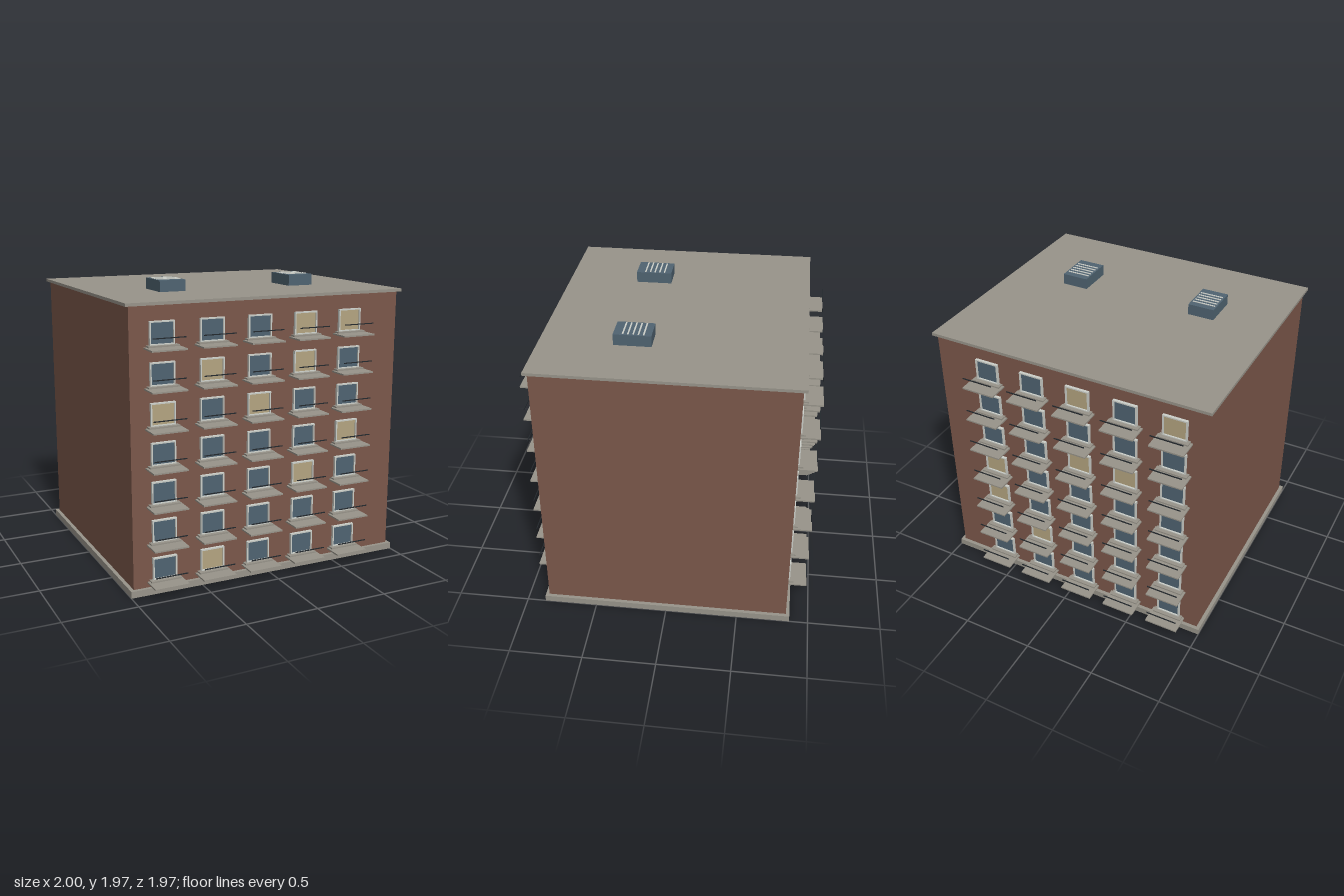
import * as THREE from 'three';

const mat = (name, color) => {
  const m = new THREE.MeshStandardMaterial({ color });
  m.name = name;
  return m;
};

export function createModel() {
  const brick = mat('brick', 0x7c584b);
  const concrete = mat('concrete', 0x99958b);
  const glass = mat('dark glass', 0x506472);
  const litGlass = mat('lit glass', 0xb5a581);
  const frame = mat('window frame', 0xcdd0ca);
  const metal = mat('dark metal', 0x23282d);

  const building = new THREE.Group();
  building.name = 'apartmentBlock';

  // Box given by its size and centre
  const box = (parent, name, material, [w, h, d], [x, y, z]) => {
    const mesh = new THREE.Mesh(new THREE.BoxGeometry(w, h, d), material);
    mesh.name = name;
    mesh.position.set(x, y, z);
    parent.add(mesh);
    return mesh;
  };

  // Main volume
  box(building, 'plinth', concrete, [2, 0.045, 1.74], [0, 0.0225, 0]);
  box(building, 'walls', brick, [1.95, 1.835, 1.69], [0, 0.9575, 0]);
  box(building, 'roofSlab', concrete, [2, 0.02, 1.74], [0, 1.878, 0]);

  // Window bay with sill, balcony slab and rail; s is the side (+1 front, -1 back)
  const wall = 0.845;
  const bay = (x, y, s, lit) => {
    const g = new THREE.Group();
    g.name = 'windowBay';
    g.position.set(x, y, 0);
    building.add(g);
    const cy = 0.09, w = 0.167, h = 0.15, t = 0.009;
    box(g, 'pane', lit ? litGlass : glass, [w - 2 * t, h - 2 * t, 0.009], [0, cy, s * (wall + 0.0045)]);
    for (const k of [-1, 1]) {
      box(g, 'frameSide', frame, [t, h, 0.02], [k * (w - t) / 2, cy, s * (wall + 0.01)]);
      box(g, 'frameRail', frame, [w - 2 * t, t, 0.02], [0, cy + k * (h - t) / 2, s * (wall + 0.01)]);
    }
    box(g, 'sill', concrete, [0.207, 0.01, 0.047], [0, 0.012, s * (wall + 0.0215)]);
    box(g, 'balconySlab', concrete, [0.235, 0.01, 0.142], [0, 0, s * (wall + 0.069)]);
    box(g, 'balconyRail', metal, [0.22, 0.006, 0.006], [0, 0.076, s * 0.978]);
  };

  // Lit windows per floor, counted from the top; columns run from -x to +x
  const facades = [
    { s: 1, lit: [[3, 4], [1, 3], [0, 2], [4], [3], [], [1]] },
    { s: -1, lit: [[0, 2], [], [1, 2], [4], [4], [3], []] },
  ];
  for (const { s, lit } of facades) {
    lit.forEach((columns, row) => {
      for (let c = 0; c < 5; c++) {
        bay(-0.762 + c * 0.3385, 1.606 - row * 0.2545, s, columns.includes(c));
      }
    });
  }

  // Rooftop ventilation units with slats
  for (const x of [-0.487, 0.487]) {
    const unit = new THREE.Group();
    unit.name = 'roofUnit';
    unit.position.set(x, 1.888, 0.255);
    building.add(unit);
    box(unit, 'unitCasing', glass, [0.185, 0.076, 0.25], [0, 0.038, 0]);
    for (let i = -2; i <= 2; i++) {
      box(unit, 'slat', frame, [0.163, 0.004, 0.01], [0, 0.078, -0.006 + i * 0.034]);
    }
  }
  return building;
}
